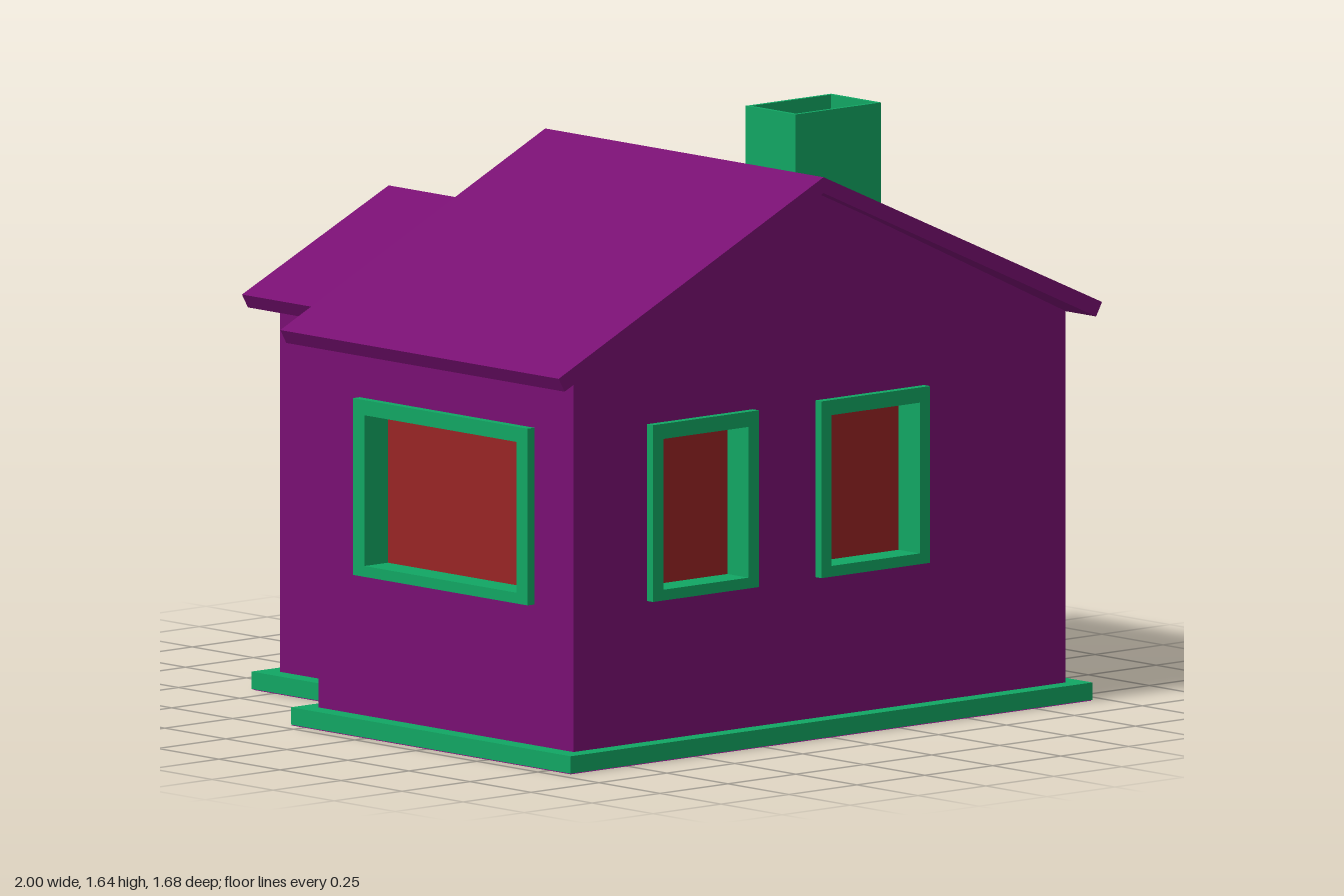
import * as THREE from 'three';

const purple = new THREE.MeshStandardMaterial({ color: 0x780f72, side: THREE.DoubleSide });
purple.name = 'purple walls and roof';
const green = new THREE.MeshStandardMaterial({ color: 0x11a663 });
green.name = 'green trim';
const red = new THREE.MeshStandardMaterial({ color: 0x982424 });
red.name = 'red glass';

const toPath = (pts, Type = THREE.Shape) => new Type(pts.map(([x, y]) => new THREE.Vector2(x, y)));
const rect = (a, b, c, d) => [[a, c], [b, c], [b, d], [a, d]];

function add(parent, name, geometry, material) {
  const m = new THREE.Mesh(geometry, material);
  m.name = name;
  parent.add(m);
  return m;
}

// Flat outline with optional holes, extruded from z0 to z1
function slab(outline, z0, z1, holes = []) {
  const s = toPath(outline);
  holes.forEach((h) => s.holes.push(toPath(h, THREE.Path)));
  return new THREE.ExtrudeGeometry(s, { depth: z1 - z0, bevelEnabled: false }).translate(0, 0, z0);
}

const WIN_LOW = 0.44, WIN_HIGH = 0.93, FLOOR = 0.05;

// Wall facing local +z, with recessed windows given as [left, right]
function wall(parent, name, outline, windows, place, extraHoles = []) {
  const g = new THREE.Group();
  g.name = name;
  place(g);
  const s = toPath(outline);
  windows.forEach(([a, b]) => s.holes.push(toPath(rect(a + 0.015, b - 0.015, WIN_LOW + 0.015, WIN_HIGH - 0.015), THREE.Path)));
  extraHoles.forEach((h) => s.holes.push(toPath(h, THREE.Path)));
  add(g, 'wallPanel', new THREE.ShapeGeometry(s), purple);
  for (const [a, b] of windows) {
    const w = b - a > 0.5 ? 0.046 : 0.038;
    const inner = rect(a + w, b - w, WIN_LOW + 0.03, WIN_HIGH - 0.042);
    add(g, 'windowFrame', slab(rect(a, b, WIN_LOW, WIN_HIGH), -0.07, 0.025, [inner]), green);
    add(g, 'windowGlass', new THREE.ShapeGeometry(toPath(inner)).translate(0, 0, -0.062), red);
  }
  parent.add(g);
  return g;
}

// Gabled roof of constant thickness, running from z0 to z1
function roof(parent, name, ridgeX, ridgeY, x0, x1, z0, z1) {
  const e = 1.1, t = 0.04, i = 0.022;
  add(parent, name, slab([
    [x0, e], [x0 + i, e - t + 0.002], [ridgeX, ridgeY - 0.044],
    [x1 - i, e - t + 0.002], [x1, e], [ridgeX, ridgeY],
  ], z0, z1), purple);
}

const gable = (x0, x1, e0, e1, rx, ry) => [[x0, FLOOR], [x1, FLOOR], [x1, e1], [rx, ry], [x0, e0]];
const mirrorX = (pts) => pts.map(([x, y]) => [-x, y]).reverse();

export function createModel() {
  const house = new THREE.Group();
  house.name = 'house';

  // Foundation with a purple underside
  const plan = [[-0.96, -0.84], [0.96, -0.84], [0.96, 0.306], [0.365, 0.306],
    [0.365, 0.84], [-0.625, 0.84], [-0.625, 0.306], [-0.96, 0.306]];
  add(house, 'foundation', slab(plan, 0.002, FLOOR).rotateX(-Math.PI / 2), green);
  add(house, 'foundationUnderside', new THREE.ShapeGeometry(toPath(plan)).rotateX(-Math.PI / 2), purple);

  // Main block walls
  const main = gable(-0.905, 0.905, 1.105, 1.08, -0.025, 1.515);
  wall(house, 'frontWall', main, [[-0.635, -0.245], [-0.015, 0.385]], (g) => g.position.set(0, 0, 0.79));
  wall(house, 'backWall', mirrorX(main), [], (g) => {
    g.position.z = -0.255;
    g.rotation.y = Math.PI;
  });
  for (const side of [1, -1]) {
    const [a, b] = side > 0 ? [-0.63, 0.085] : [-0.085, 0.63];
    const [u0, u1] = side > 0 ? [-0.79, 0.255] : [-0.255, 0.79];
    wall(house, side > 0 ? 'leftWall' : 'rightWall', rect(u0, u1, FLOOR, side > 0 ? 1.08 : 1.105), [[a, b]], (g) => {
      g.position.x = side * 0.905;
      g.rotation.y = side * Math.PI / 2;
    });
  }
  roof(house, 'mainRoof', -0.025, 1.555, -1, 1, -0.305, 0.835);

  // Rear wing
  wall(house, 'wingBackWall', mirrorX(gable(-0.57, 0.31, 1.1, 1.1, -0.125, 1.305)), [[-0.225, 0.485]], (g) => {
    g.position.z = -0.785;
    g.rotation.y = Math.PI;
  });
  wall(house, 'wingRightWall', rect(-0.785, -0.255, FLOOR, 1.1), [], (g) => {
    g.position.x = -0.57;
    g.rotation.y = -Math.PI / 2;
  });
  const doorWall = wall(house, 'wingDoorWall', rect(0.255, 0.785, FLOOR, 1.1), [], (g) => {
    g.position.x = 0.31;
    g.rotation.y = Math.PI / 2;
  }, [rect(0.325, 0.715, FLOOR + 0.001, 0.91)]);
  roof(house, 'wingRoof', -0.125, 1.345, -0.665, 0.405, -0.835, -0.255);

  // Door with frame and sloping awning
  add(doorWall, 'doorFrame', slab([[0.305, FLOOR], [0.342, FLOOR], [0.342, 0.887], [0.7, 0.887],
    [0.7, FLOOR], [0.735, FLOOR], [0.735, 0.93], [0.305, 0.93]], -0.04, 0.025), green);
  add(doorWall, 'door', slab(rect(0.342, 0.7, FLOOR, 0.887), -0.04, -0.015), green);
  const awning = slab([[-0.01, 0.68], [0.115, 0.68], [0.115, 0.69], [-0.01, 0.885]], -0.178, 0.178);
  add(doorWall, 'doorAwning', awning.rotateY(-Math.PI / 2).translate(0.522, 0, 0), purple);

  // Hollow chimney
  add(house, 'chimney', slab(rect(0.29, 0.605, -0.37, -0.165), 1.25, 1.64,
    [rect(0.302, 0.593, -0.358, -0.177)]).rotateX(-Math.PI / 2), green);

  return house;
}
